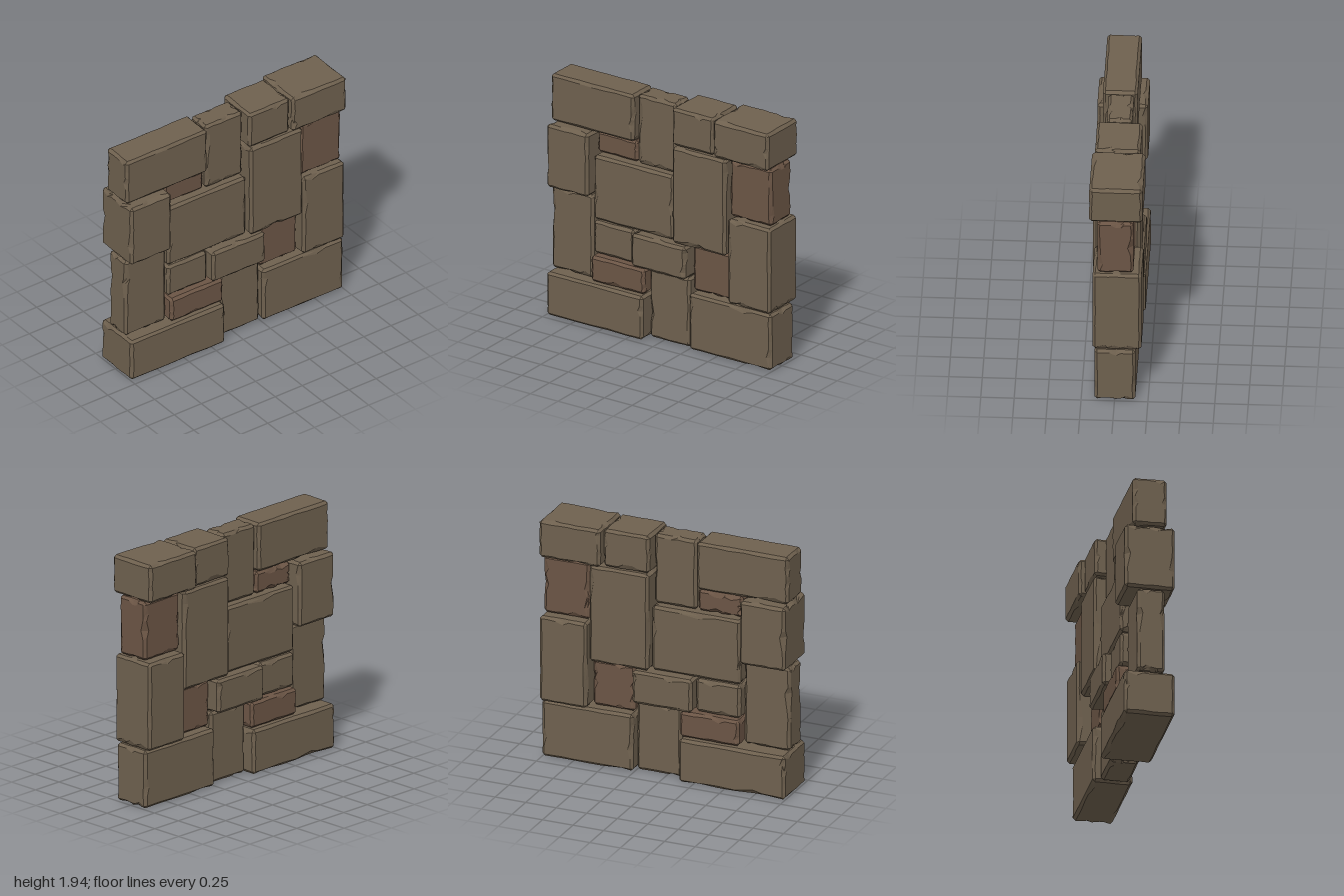
import * as THREE from 'three';

const N = 8;          // grid divisions per block side
const BEVEL = 0.02;   // normal width of the worn edge

// Repeatable pseudo-random value from a few integers
function hash(...keys) {
  let h = 2166136261;
  for (const k of keys) {
    h = Math.imul(h ^ (k + 17), 16777619);
    h ^= h >>> 13;
  }
  h = Math.imul(h ^ (h >>> 16), 2246822507);
  return ((h ^ (h >>> 15)) >>> 0) / 4294967296;
}

// Box with chamfered edges whose width varies, giving occasional chips
function stoneGeometry(size, seed) {
  const geo = new THREE.BoxGeometry(1, 1, 1, N, N, N);
  const pos = geo.attributes.position;
  const isEnd = (q) => q === 0 || q === N;
  const side = (q) => (q < N / 2 ? -1 : 1);

  // Inset on the face across axis a, along its border on axis b, at station c
  const inset = (a, b, q) => {
    const c = 3 - a - b;
    if (q[c] <= 1 || q[c] >= N - 1) return BEVEL;
    const r = hash(seed, a, side(q[a]), b, side(q[b]), q[c]);
    return r > 0.9 ? 0.042 : BEVEL * (0.8 + 0.5 * r);
  };
  // Unevenly spaced stations between the two bevels
  const station = (axis, q) => {
    const half = size[axis] / 2 - BEVEL;
    const jitter = q > 1 && q < N - 1 ? (hash(seed, axis, q) - 0.5) * 0.7 : 0;
    return half * (((q - 1 + jitter) / (N - 2)) * 2 - 1);
  };

  for (let i = 0; i < pos.count; i++) {
    const q = [pos.getX(i), pos.getY(i), pos.getZ(i)].map((v) => Math.round((v + 0.5) * N));
    const ends = [0, 1, 2].filter((a) => isEnd(q[a]));
    const p = q.map((v, a) => (isEnd(v) ? side(v) * size[a] / 2 : station(a, v)));
    if (ends.length === 3) {
      ends.forEach((a) => { p[a] -= side(q[a]) * BEVEL * 0.667; });
    } else if (ends.length === 2) {
      const [a, b] = ends;
      p[a] -= side(q[a]) * inset(b, a, q) / 2;
      p[b] -= side(q[b]) * inset(a, b, q) / 2;
    } else {
      const a = ends[0];
      for (let b = 0; b < 3; b++) {
        if (b !== a && (q[b] === 1 || q[b] === N - 1)) {
          p[b] = side(q[b]) * (size[b] / 2 - inset(a, b, q));
        }
      }
    }
    pos.setXYZ(i, ...p);
  }
  const flat = geo.toNonIndexed();
  flat.computeVertexNormals();
  return flat;
}

export function createModel() {
  const wall = new THREE.Group();
  wall.name = 'stoneWall';
  const brown = new THREE.MeshStandardMaterial({ color: 0x6e604e, flatShading: true });
  const reddish = new THREE.MeshStandardMaterial({ color: 0x6b5545, flatShading: true });

  // name, x range, y range, z range, material
  const stones = [
    // top course
    ['topFrontStone', -0.115, 0.145, 1.56, 1.94, 0.25, 1.0, brown],
    ['topMiddleStone', -0.09, 0.10, 1.38, 1.94, -0.105, 0.24, brown],
    ['topInnerStone', -0.17, 0.17, 1.64, 1.94, -0.49, -0.115, brown],
    ['topBackStone', -0.21, 0.19, 1.64, 1.94, -1.0, -0.50, brown],
    // middle courses
    ['upperFrontStone', -0.175, 0.205, 1.04, 1.55, 0.625, 1.0, brown],
    ['upperSmallStone', -0.09, 0.09, 1.38, 1.55, 0.25, 0.615, reddish],
    ['centreStone', -0.13, 0.14, 0.85, 1.37, -0.11, 0.615, brown],
    ['tallStone', -0.175, 0.18, 0.85, 1.63, -0.605, -0.12, brown],
    ['upperBackStone', -0.14, 0.13, 1.17, 1.63, -0.99, -0.615, reddish],
    ['middleBackStone', -0.20, 0.165, 0.47, 1.16, -1.0, -0.615, brown],
    ['middleFrontStone', -0.08, 0.13, 0.36, 1.03, 0.625, 1.0, brown],
    ['lowerSmallStone', -0.13, 0.14, 0.575, 0.84, 0.25, 0.615, brown],
    ['lowerProudStone', -0.185, 0.195, 0.575, 0.84, -0.25, 0.24, brown],
    ['lowerRecessedStone', -0.10, 0.10, 0.47, 0.84, -0.605, -0.26, reddish],
    ['lowerFlatStone', -0.16, 0.18, 0.36, 0.565, 0.13, 0.615, reddish],
    // bottom course
    ['bottomMiddleStone', -0.10, 0.12, 0.005, 0.565, -0.245, 0.12, brown],
    ['bottomBackStone', -0.155, 0.15, 0.005, 0.46, -1.0, -0.255, brown],
    ['bottomFrontStone', -0.18, 0.205, 0.0, 0.35, 0.13, 1.0, brown],
  ];

  stones.forEach(([name, x0, x1, y0, y1, z0, z1, material], i) => {
    const mesh = new THREE.Mesh(stoneGeometry([x1 - x0, y1 - y0, z1 - z0], i + 1), material);
    mesh.name = name;
    mesh.position.set((x0 + x1) / 2, (y0 + y1) / 2, (z0 + z1) / 2);
    wall.add(mesh);
  });
  return wall;
}
